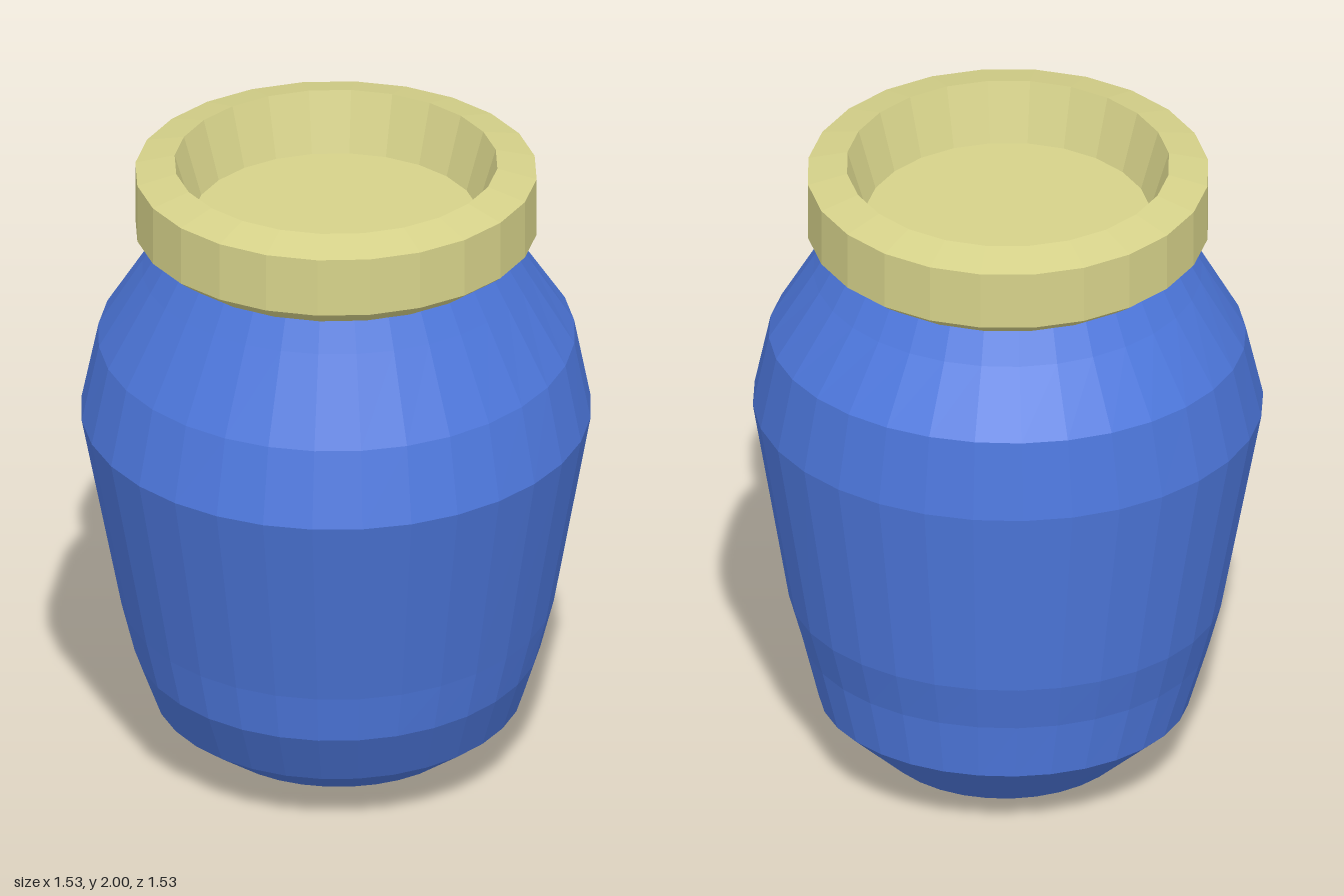
import * as THREE from 'three';

const SIDES = 32;

// Skin a stack of circular rings, each given as [radius, zFront, yFront, zBack, yBack].
function loftRings(rings) {
  const pos = [], index = [];
  for (const [r, zf, yf, zb, yb] of rings) {
    for (let i = 0; i < SIDES; i++) {
      const a = (i / SIDES) * Math.PI * 2;
      const t = (1 - Math.cos(a)) / 2; // 0 at the front, 1 at the back
      pos.push(r * Math.sin(a), yf + (yb - yf) * t, zf + (zb - zf) * t);
    }
  }
  for (let k = 0; k < rings.length - 1; k++) {
    for (let i = 0; i < SIDES; i++) {
      const a = k * SIDES + i, b = k * SIDES + (i + 1) % SIDES;
      index.push(a, b, b + SIDES, a, b + SIDES, a + SIDES);
    }
  }
  // flat base
  for (let i = 1; i < SIDES - 1; i++) index.push(0, i + 1, i);
  const geo = new THREE.BufferGeometry();
  geo.setAttribute('position', new THREE.Float32BufferAttribute(pos, 3));
  geo.setIndex(index);
  geo.computeVertexNormals();
  return geo;
}

export function createModel() {
  const group = new THREE.Group();
  group.name = 'jar';
  const blue = new THREE.MeshStandardMaterial({ color: 0x4d77dc, flatShading: true });
  const cream = new THREE.MeshStandardMaterial({ color: 0xd6d28a, flatShading: true });

  // Slightly lopsided pot: the lower rings tilt and lean towards the back
  const body = new THREE.Mesh(loftRings([
    [0.165, 0.08, 0, -0.25, 0],
    [0.38, 0.30, 0.06, -0.46, 0.06],
    [0.555, 0.47, 0.17, -0.64, 0.245],
    [0.61, 0.575, 0.35, -0.66, 0.425],
    [0.65, 0.60, 0.5, -0.70, 0.58],
    [0.765, 0.765, 1.15, -0.765, 1.21],
    [0.715, 0.70, 1.38, -0.73, 1.46],
    [0.583, 0.57, 1.64, -0.585, 1.64],
    [0.53, 0.525, 1.735, -0.525, 1.735],
  ]), blue);
  body.name = 'body';
  group.add(body);

  // Thick collar with a recessed, closed floor
  const profile = [
    [0.51, 1.73], [0.53, 1.73], [0.585, 1.77], [0.603, 1.785], [0.603, 1.97],
    [0.485, 2], [0.43, 1.815], [0, 1.815],
  ].map(([x, y]) => new THREE.Vector2(x, y));
  const lid = new THREE.Mesh(new THREE.LatheGeometry(profile, 24), cream);
  lid.name = 'lid';
  group.add(lid);

  return group;
}
